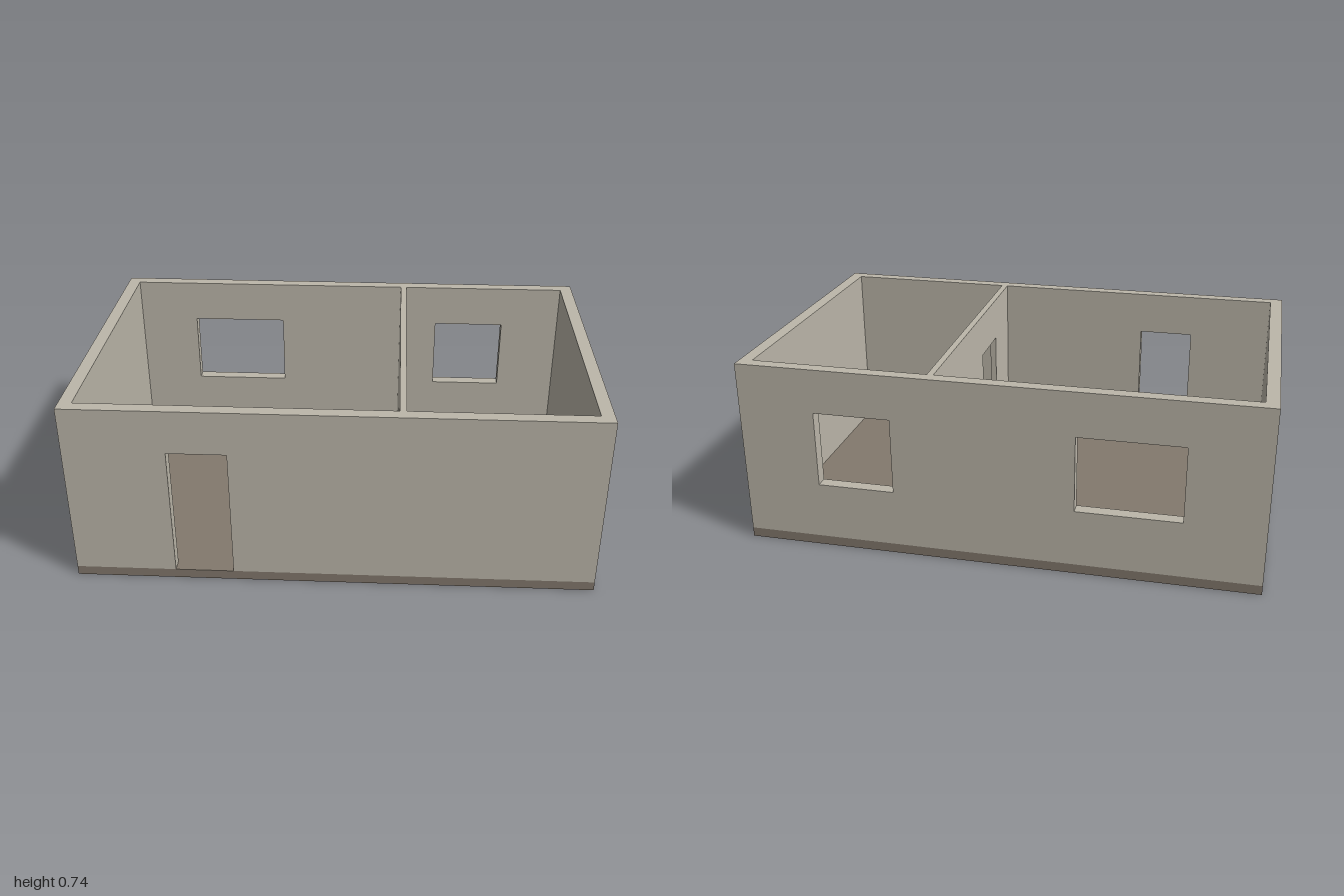
import * as THREE from 'three';

const FLOOR = 0.0375, WALL_H = 0.7, THICK = 0.05, HALF_D = 0.625;
const DOOR_W = 0.225, HEAD = 0.525, SILL = 0.225;

// Upright wall panel, centred on its thickness, with door notches and window holes
function wallGeometry(from, to, thickness, doors = [], windows = []) {
  const shape = new THREE.Shape();
  shape.moveTo(from, 0);
  for (const c of doors) {
    const a = c - DOOR_W / 2, b = c + DOOR_W / 2;
    shape.lineTo(a, 0).lineTo(a, HEAD).lineTo(b, HEAD).lineTo(b, 0);
  }
  shape.lineTo(to, 0).lineTo(to, WALL_H).lineTo(from, WALL_H).closePath();
  for (const [c, w] of windows) {
    const a = c - w / 2, b = c + w / 2;
    const hole = new THREE.Path();
    hole.moveTo(a, SILL).lineTo(a, HEAD).lineTo(b, HEAD).lineTo(b, SILL).closePath();
    shape.holes.push(hole);
  }
  const geometry = new THREE.ExtrudeGeometry(shape, { depth: thickness, bevelEnabled: false });
  return geometry.translate(0, 0, -thickness / 2);
}

export function createModel() {
  const group = new THREE.Group();
  group.name = 'house';
  const wallMaterial = new THREE.MeshStandardMaterial({ color: 0xbcb7aa });
  const floorMaterial = new THREE.MeshStandardMaterial({ color: 0x83796d });

  const add = (name, geometry, material, x, y, z) => {
    const mesh = new THREE.Mesh(geometry, material);
    mesh.name = name;
    mesh.position.set(x, y, z);
    group.add(mesh);
    return mesh;
  };

  // Floor slab
  add('floorSlab', new THREE.BoxGeometry(2, FLOOR, 2 * HALF_D), floorMaterial, 0, FLOOR / 2, 0);

  // Long walls: entrance door in front, two windows behind
  const wallZ = HALF_D - THICK / 2;
  add('frontWall', wallGeometry(-1, 1, THICK, [-0.5]), wallMaterial, 0, FLOOR, wallZ);
  add('backWall', wallGeometry(-1, 1, THICK, [], [[-0.5, 0.4], [0.55, 0.3]]), wallMaterial, 0, FLOOR, -wallZ);

  // Plain side walls between the long walls
  const inner = HALF_D - THICK;
  for (const [name, side] of [['leftWall', 1], ['rightWall', -1]]) {
    add(name, wallGeometry(-inner, inner, THICK), wallMaterial, side * (1 - THICK / 2), FLOOR, 0)
      .rotation.y = -Math.PI / 2;
  }

  // Thin partition with an inner doorway; the turn maps its length onto +z
  add('partitionWall', wallGeometry(-inner, inner, 0.025, [0.235]), wallMaterial, 0.25, FLOOR, 0)
    .rotation.y = -Math.PI / 2;

  return group;
}
